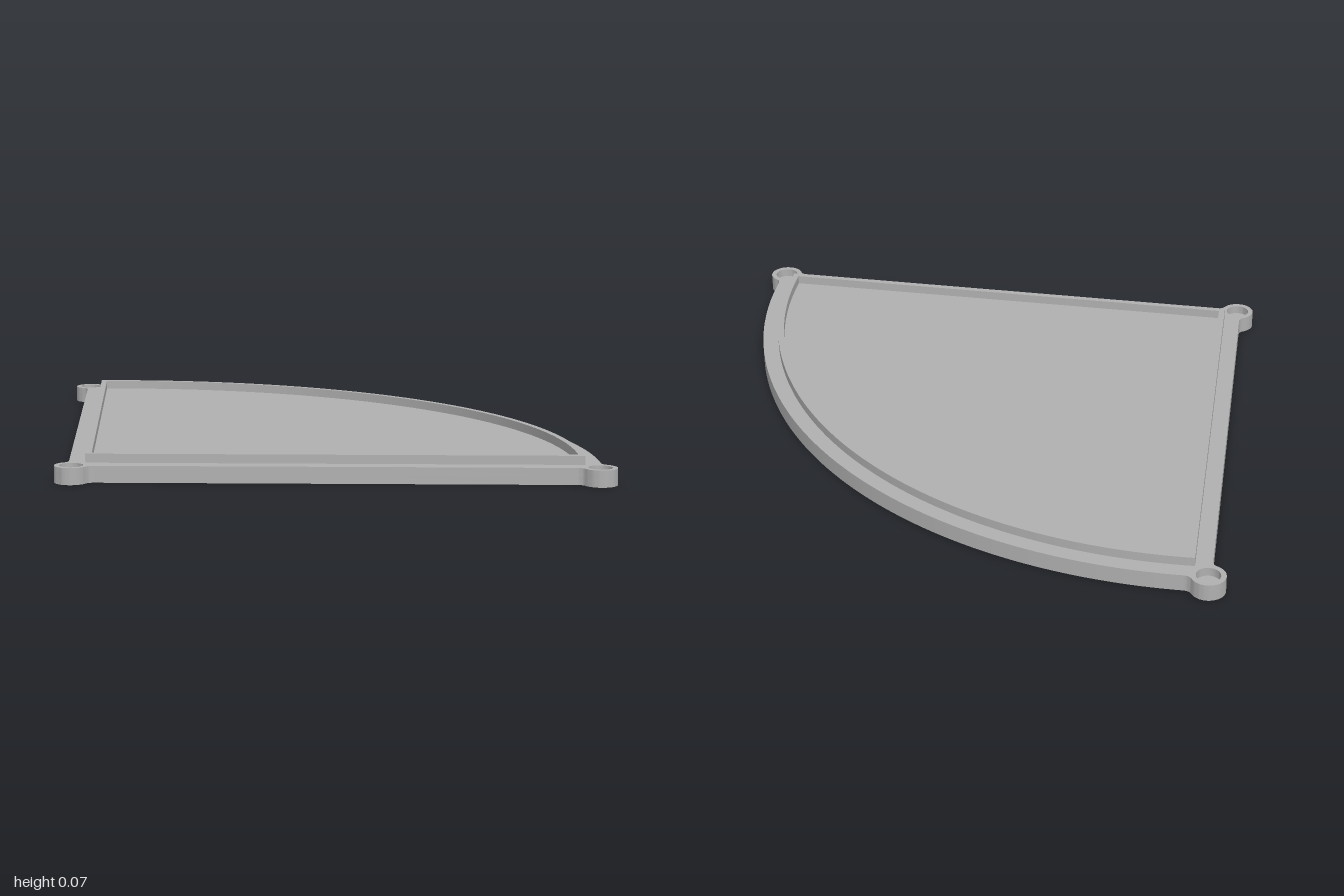
import * as THREE from 'three';
import { toCreasedNormals } from 'three/addons/utils/BufferGeometryUtils.js';

const V = (x, y) => new THREE.Vector2(x, y);
const polar = (c, r, t) => V(c.x + r * Math.cos(t), c.y + r * Math.sin(t));

const HALF = 0.8133;                 // half angle of the sector
const CENTRE = V(-0.603, 0);         // tip of the raised rim and centre of its arc
const RIM_R = 1.251, RIM_W = 0.016, FLANGE_W = 0.042;
const BOSS_R = 0.043, HOLE_R = 0.03, FILLET = 0.016;
const APEX = V(-0.65, 0), CORNER = V(0.255, 0.957);
const FLOOR_Y = 0.021, FLANGE_Y = 0.043, RIM_Y = 0.066;

function arc(c, r, from, to, n) {
  return Array.from({ length: n + 1 }, (_, i) => polar(c, r, from + (to - from) * i / n));
}

// Rounded inside corner, without its end points
function fillet(a, corner, b) {
  return new THREE.QuadraticBezierCurve(a, corner, b).getPoints(5).slice(1, -1);
}

// Sector outline moved inwards by an offset
function sector(offset) {
  const r = RIM_R - offset;
  const t = HALF - Math.asin(offset / r);
  return [V(CENTRE.x + offset / Math.sin(HALF), 0), ...arc(CENTRE, r, -t, t, 72)];
}

// Flange outline with a round boss at each corner; one half, then mirrored
function flangeOutline() {
  const R = RIM_R + FLANGE_W;
  const d = V(Math.cos(HALF), Math.sin(HALF)), n = V(-d.y, d.x);
  const h = CENTRE.clone().sub(APEX).dot(n) + FLANGE_W;
  const w = Math.sqrt(BOSS_R * BOSS_R - h * h);
  const along = (p, s) => p.clone().addScaledVector(n, h).addScaledVector(d, s);
  const angle = (p, c) => Math.atan2(p.y - c.y, p.x - c.x);
  const turn = FILLET / BOSS_R;

  // Where the big arc and the straight edge meet the bosses
  const D = CORNER.distanceTo(CENTRE);
  const phi = angle(CORNER, CENTRE) - Math.acos((R * R + D * D - BOSS_R * BOSS_R) / (2 * R * D));
  const p1 = polar(CENTRE, R, phi), p2 = along(CORNER, -w), p3 = along(APEX, w);
  const t1 = angle(p1, CORNER) + turn;
  const t2 = angle(p2, CORNER) + 2 * Math.PI - turn;
  const t3 = angle(p3, APEX) + turn;

  const big = arc(CENTRE, R, 0, phi - FILLET / R, 40);
  const cornerBoss = arc(CORNER, BOSS_R, t1, t2, 24);
  const apexBoss = arc(APEX, BOSS_R, t3, Math.PI, 16);
  const e2 = along(CORNER, -w - FILLET), e3 = along(APEX, w + FILLET);
  const half = [
    ...big, ...fillet(big.at(-1), p1, cornerBoss[0]),
    ...cornerBoss, ...fillet(cornerBoss.at(-1), p2, e2),
    e2, e3, ...fillet(e3, p3, apexBoss[0]), ...apexBoss,
  ];
  return [...half, ...half.slice(1, -1).reverse().map(p => V(p.x, -p.y))];
}

export function createModel() {
  const group = new THREE.Group();
  group.name = 'sectorTray';
  const grey = new THREE.MeshStandardMaterial({ color: 0xb0b0b0 });
  grey.name = 'grey';

  function slab(name, outline, holes, y0, y1) {
    const shape = new THREE.Shape(outline);
    shape.holes = holes.map(points => new THREE.Path(points));
    let geo = new THREE.ExtrudeGeometry(shape, { depth: y1 - y0, bevelEnabled: false });
    geo.rotateX(-Math.PI / 2).translate(0, y0, 0);
    geo = toCreasedNormals(geo, 0.6);
    const mesh = new THREE.Mesh(geo, grey);
    mesh.name = name;
    group.add(mesh);
  }

  // Solid bottom, then the flange layer with blind holes in the bosses
  const outline = flangeOutline();
  const holes = [APEX, CORNER, V(CORNER.x, -CORNER.y)]
    .map(c => arc(c, HOLE_R, 0, -2 * Math.PI, 32).slice(0, -1));
  slab('bottomPlate', outline, [], 0, FLOOR_Y);
  slab('flangePlate', outline, holes, FLOOR_Y, FLANGE_Y);

  // Thin raised lip
  slab('raisedRim', sector(0), [sector(RIM_W).reverse()], FLANGE_Y, RIM_Y);

  return group;
}
